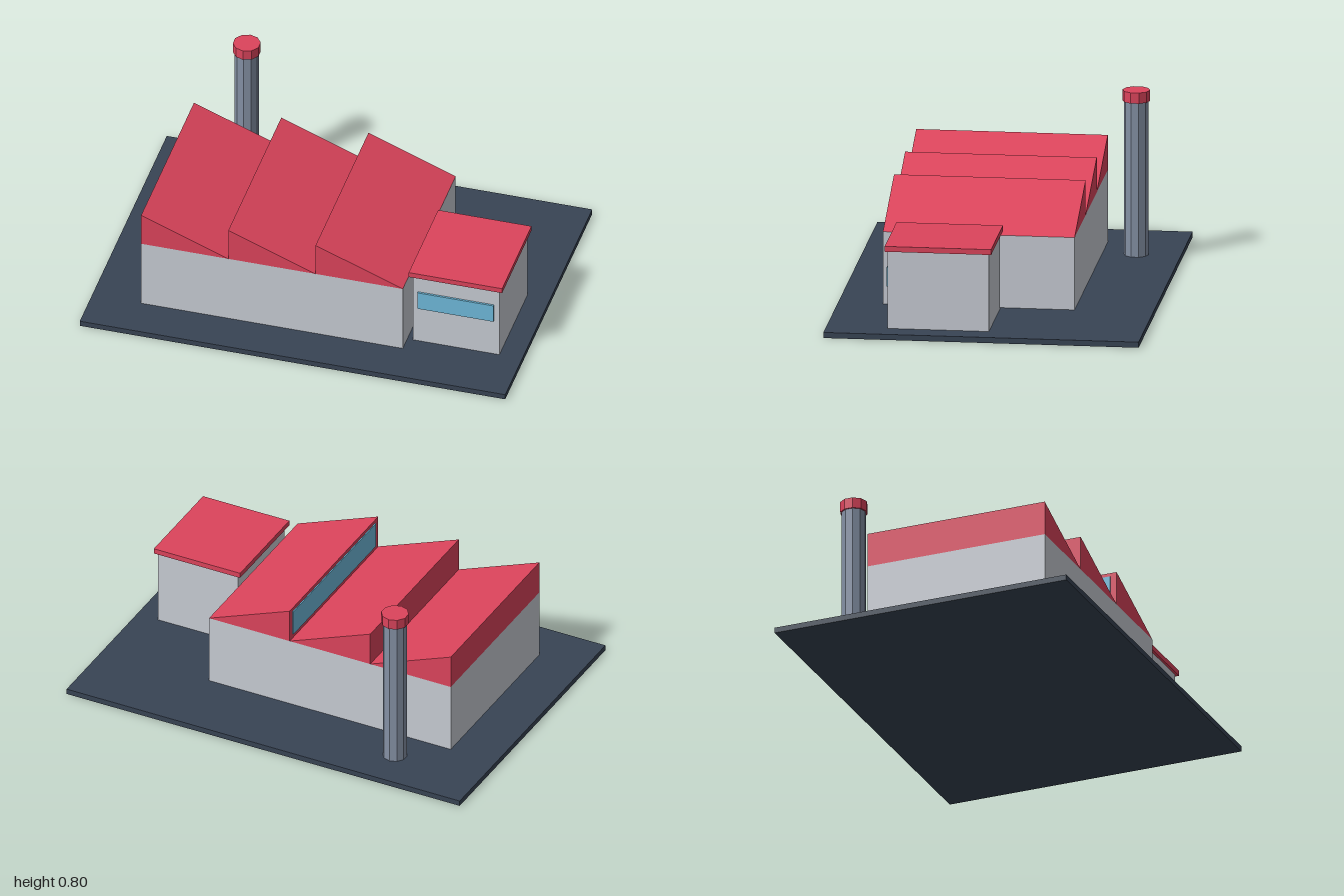
import * as THREE from 'three';

const mat = (color) => new THREE.MeshStandardMaterial({ color, flatShading: true });

export function createModel() {
  const model = new THREE.Group();
  model.name = 'factory';
  const wall = mat(0xc8ccd4), red = mat(0xdc445c), ground = mat(0x384454);
  const glass = mat(0x6fbadb), metal = mat(0x8490a4);

  const add = (name, geometry, material) => {
    const mesh = new THREE.Mesh(geometry, material);
    mesh.name = name;
    model.add(mesh);
    return mesh;
  };
  // Box given by its extents on each axis
  const box = (name, material, [x0, x1], [y0, y1], [z0, z1]) =>
    add(name, new THREE.BoxGeometry(x1 - x0, y1 - y0, z1 - z0), material)
      .position.set((x0 + x1) / 2, (y0 + y1) / 2, (z0 + z1) / 2);

  box('groundSlab', ground, [-1, 1], [0, 0.026], [-0.718, 0.718]);

  // Main hall with sawtooth roof
  const left = -0.77, pitch = 0.41, back = -0.36, front = 0.513, eaves = 0.364, ridge = 0.526;
  box('hallWalls', wall, [left, left + 3 * pitch], [0.026, eaves], [back, front]);
  const tooth = new THREE.Shape([
    new THREE.Vector2(0, 0), new THREE.Vector2(pitch, 0), new THREE.Vector2(0, ridge - eaves),
  ]);
  const toothGeometry = new THREE.ExtrudeGeometry(tooth, { depth: front - back, bevelEnabled: false });
  for (let i = 0; i < 3; i++) {
    add(`roofTooth${i + 1}`, toothGeometry, red).position.set(left + i * pitch, eaves, back);
  }

  // Skylight on the upright face of the last tooth
  const face = left + 2 * pitch;
  box('skylight', glass, [face - 0.005, face + 0.005], [0.385, 0.508], [back + 0.03, front - 0.03]);

  // Office annex
  box('officeWalls', wall, [0.487, 0.893], [0.026, 0.388], [-0.023, 0.438]);
  box('officeRoof', red, [0.47, 0.909], [0.388, 0.413], [-0.035, 0.45]);
  box('officeWindow', glass, [0.51, 0.867], [0.214, 0.304], [0.43, 0.447]);

  // Chimney
  add('chimneyShaft', new THREE.CylinderGeometry(0.056, 0.056, 0.735, 10), metal)
    .position.set(-0.566, 0.3775, -0.515);
  add('chimneyCap', new THREE.CylinderGeometry(0.063, 0.063, 0.05, 10), red)
    .position.set(-0.566, 0.77, -0.515);

  return model;
}
